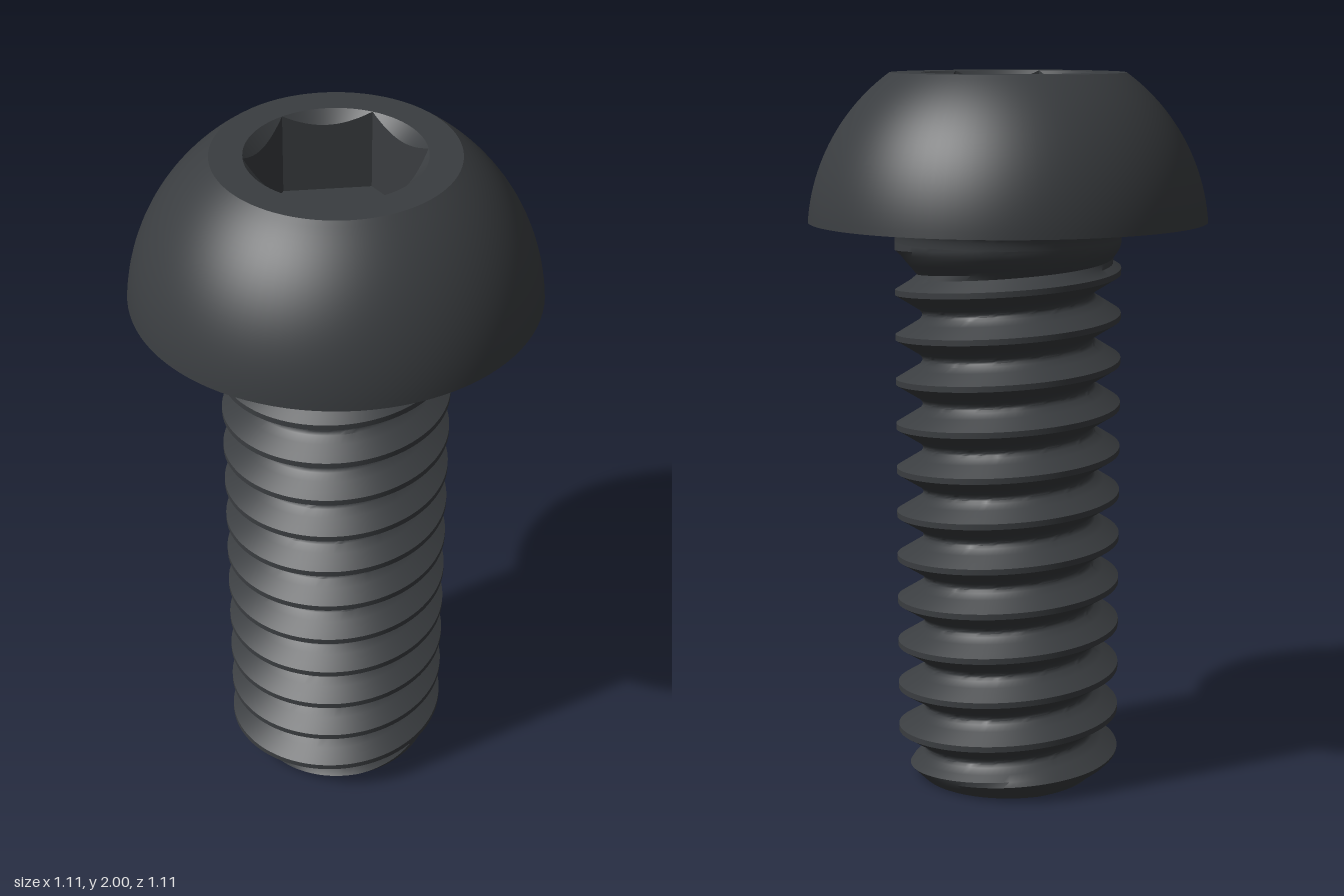
import * as THREE from 'three';
import { toCreasedNormals } from 'three/addons/utils/BufferGeometryUtils.js';

const SEG = 96, TAU = Math.PI * 2;
const PITCH = 0.126, MAJOR = 0.315, MINOR = 0.24, NECK_Y = 1.54, HEAD_Y = 1.594;
const material = new THREE.MeshStandardMaterial({ color: 0x3a3d40 });

// Skin a stack of rings; at(row, angle) returns [radius, height]
function ringMesh(name, rows, at) {
  const point = (i, j) => {
    const a = (j / SEG) * TAU;
    const [r, y] = at(i, a);
    return new THREE.Vector3(r * Math.cos(a), y, -r * Math.sin(a));
  };
  const pos = [];
  const tri = (a, b, c) => {
    const area = b.clone().sub(a).cross(c.clone().sub(a)).length();
    if (area > 1e-9) for (const v of [a, b, c]) pos.push(v.x, v.y, v.z);
  };
  for (let i = 0; i < rows - 1; i++) {
    for (let j = 0; j < SEG; j++) {
      const a = point(i, j), b = point(i, j + 1), c = point(i + 1, j + 1), d = point(i + 1, j);
      tri(a, b, c);
      tri(a, c, d);
    }
  }
  const geo = new THREE.BufferGeometry();
  geo.setAttribute('position', new THREE.Float32BufferAttribute(pos, 3));
  const mesh = new THREE.Mesh(toCreasedNormals(geo, 0.6), material);
  mesh.name = name;
  return mesh;
}

// Thread radius at a height and angle: flat crest, straight flanks, rounded root
function threadRadius(y, a) {
  const t = (y - 0.138) / PITCH - a / TAU;
  const d = Math.abs(t - Math.round(t)) * PITCH;
  let r = MAJOR;
  if (d > 0.05) r = MINOR + 0.007 * ((0.063 - d) / 0.013) ** 2;
  else if (d > 0.008) r = MAJOR - (d - 0.008) * (0.068 / 0.042);
  const runout = MINOR + (MAJOR - MINOR) * THREE.MathUtils.smoothstep(y, 1.41, NECK_Y);
  return Math.min(Math.max(r, runout), 0.25 + y); // run-out under the head, chamfered tip
}

// Rows follow the helix and are clamped at both ends of the shank
function threadedShank() {
  const offsets = [-0.063, -0.058, -0.05, -0.036, -0.022, -0.008, 0.008, 0.022, 0.036, 0.05, 0.058];
  const n = offsets.length, turns = 16;
  return ringMesh('threadedShank', n * turns + 1, (i, a) => {
    if (i === 0) return [0, 0]; // centre of the tip
    const k = i - 1;
    const raw = 0.138 + PITCH * (Math.floor(k / n) - 3 + a / TAU) + offsets[k % n];
    const y = THREE.MathUtils.clamp(raw, 0, NECK_Y);
    return [threadRadius(y, a), y];
  });
}

// Neck fillet, flat underside, dome and flat top ring
function domedHead() {
  const profile = [];
  for (let i = 0; i <= 8; i++) {
    const t = (i / 8) * Math.PI / 2;
    profile.push([0.345 - 0.03 * Math.cos(t), NECK_Y + (HEAD_Y - NECK_Y) * Math.sin(t)]);
  }
  const R = 0.555, cy = 1.55;
  const t0 = Math.asin((HEAD_Y - cy) / R), t1 = Math.asin((2 - cy) / R);
  for (let i = 0; i <= 24; i++) {
    const t = t0 + (t1 - t0) * i / 24;
    profile.push([R * Math.cos(t), cy + R * Math.sin(t)]);
  }
  profile.push([0.238, 2]);
  return ringMesh('domedHead', profile.length, (i) => profile[i]);
}

// Hexagonal recess with a conical lead-in
function hexSocket() {
  const rim = 0.238, apothem = rim * Math.cos(Math.PI / 6), floor = 1.775;
  return ringMesh('hexSocket', 4, (i, a) => {
    const hex = apothem / Math.cos((a % (TAU / 6)) - Math.PI / 6);
    return [[rim, 2], [hex, 2 - (rim - hex)], [hex, floor], [0, floor]][i];
  });
}

export function createModel() {
  const screw = new THREE.Group();
  screw.name = 'buttonHeadScrew';
  screw.add(threadedShank(), domedHead(), hexSocket());
  return screw;
}
